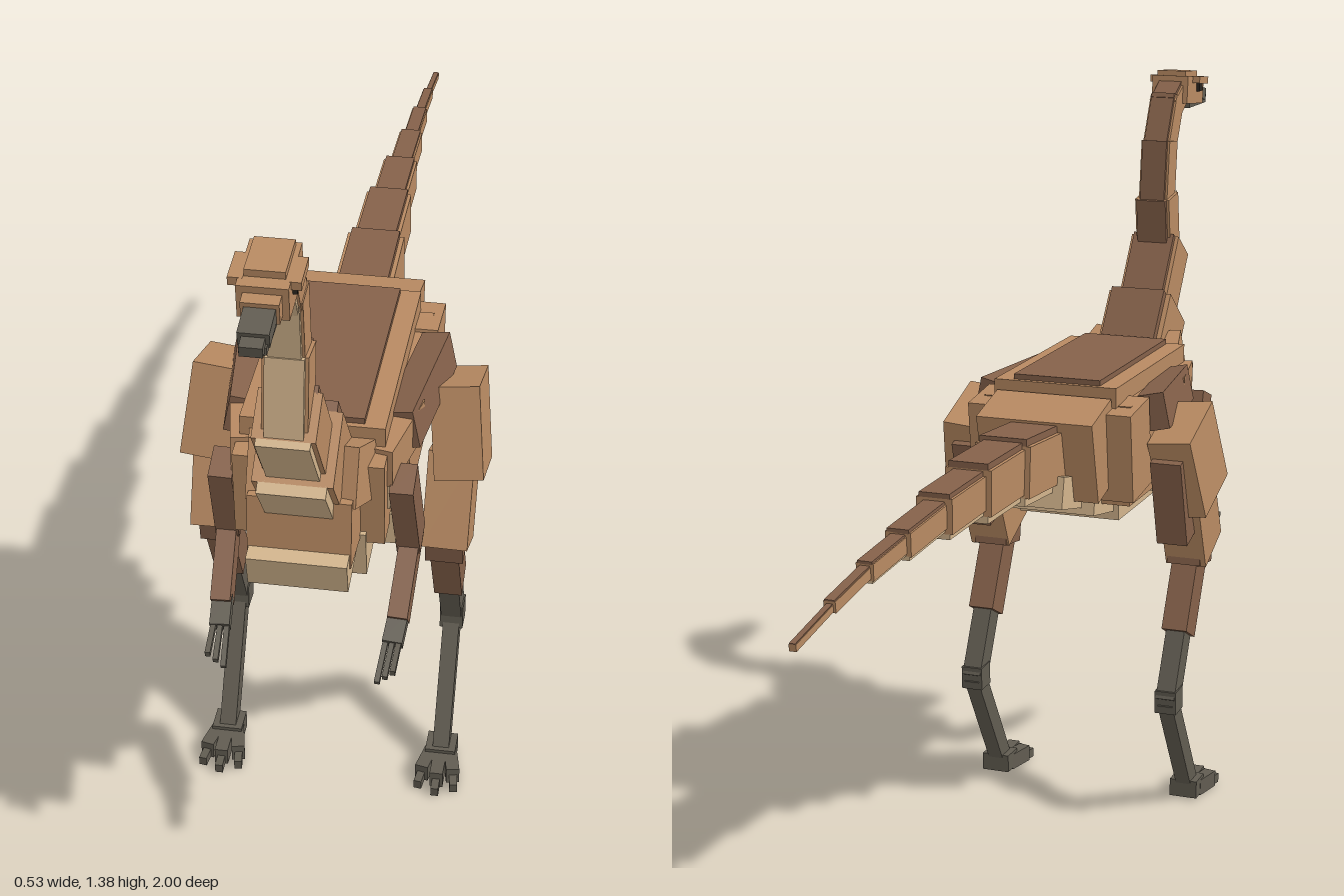
import * as THREE from 'three';

const mat = (name, hex) => {
  const m = new THREE.MeshStandardMaterial({ color: hex });
  m.name = name;
  return m;
};

export function createModel() {
  const root = new THREE.Group();
  root.name = 'featheredRunner';
  const tan = mat('tan hide', 0xb88a62);
  const brown = mat('dark brown hide', 0x85614a);
  const cream = mat('cream belly', 0xd2b48c);
  const grey = mat('grey horn', 0x615c51);
  const black = mat('eye black', 0x2a2520);

  const group = (name, parent = root) => {
    const g = new THREE.Group();
    g.name = name;
    parent.add(g);
    return g;
  };

  // Axis-aligned box from centre and size, with optional tilt
  const box = (name, parent, m, [x, y, z], [w, h, d], rot = [0, 0, 0]) => {
    const b = new THREE.Mesh(new THREE.BoxGeometry(w, h, d), m);
    b.name = name;
    b.position.set(x, y, z);
    b.rotation.set(...rot);
    parent.add(b);
    return b;
  };

  // Box running from a to b; w is its width in x, t its thickness, off shifts it along its own up axis
  const bone = (name, parent, m, a, b, w, t, off = 0) => {
    const p = new THREE.Vector3(...a), q = new THREE.Vector3(...b);
    const dz = q.clone().sub(p), len = dz.length();
    dz.normalize();
    const dx = new THREE.Vector3(1, 0, 0).addScaledVector(dz, -dz.x).normalize();
    const dy = new THREE.Vector3().crossVectors(dz, dx);
    const mesh = new THREE.Mesh(new THREE.BoxGeometry(w, t, len), m);
    mesh.name = name;
    mesh.quaternion.setFromRotationMatrix(new THREE.Matrix4().makeBasis(dx, dy, dz));
    mesh.position.copy(p).add(q).multiplyScalar(0.5).addScaledVector(dy, off);
    parent.add(mesh);
    return mesh;
  };

  // Tan segment with a brown back strip and a cream underside
  const layered = (name, parent, a, b, w, t, under = true) => {
    bone(name, parent, tan, a, b, w, t * 0.78);
    bone(name + 'Back', parent, brown, a, b, w * 0.85, t * 0.14, t * 0.43);
    if (under) bone(name + 'Underside', parent, cream, a, b, w * 0.85, t * 0.16, -t * 0.43);
  };

  // Trunk
  const body = group('body');
  box('ribcage', body, tan, [0, 0.745, 0.28], [0.29, 0.19, 0.3]);
  box('shoulders', body, tan, [0, 0.755, 0.49], [0.25, 0.16, 0.18], [0.06, 0, 0]);
  box('chest', body, tan, [0, 0.745, 0.61], [0.17, 0.12, 0.12], [-0.1, 0, 0]);
  box('upperBack', body, tan, [0, 0.845, 0.33], [0.24, 0.06, 0.42]);
  box('hips', body, tan, [0, 0.755, 0.15], [0.32, 0.17, 0.11], [-0.12, 0, 0]);
  box('rump', body, tan, [0, 0.765, 0.08], [0.225, 0.16, 0.11], [-0.25, 0, 0]);
  box('saddle', body, brown, [0, 0.87, 0.33], [0.17, 0.03, 0.4]);

  // Cream belly plates, stepping up towards the tail
  box('breastPlate', body, cream, [0, 0.695, 0.635], [0.165, 0.06, 0.12], [0.22, 0, 0]);
  box('frontBelly', body, cream, [0, 0.655, 0.51], [0.19, 0.09, 0.14], [0.12, 0, 0]);
  box('midBelly', body, cream, [0, 0.64, 0.34], [0.2, 0.08, 0.28]);
  box('rearBelly', body, cream, [0, 0.66, 0.16], [0.18, 0.07, 0.14], [0.18, 0, 0]);
  box('ventBelly', body, cream, [0, 0.69, 0.05], [0.13, 0.06, 0.13], [0.22, 0, 0]);

  // Tail, each point is [z, y, width, thickness] of the segment that starts there
  const tail = group('tail');
  const tailPts = [
    [0.05, 0.76, 0.105, 0.12], [-0.15, 0.775, 0.085, 0.105], [-0.31, 0.777, 0.065, 0.078],
    [-0.46, 0.775, 0.045, 0.052], [-0.61, 0.767, 0.03, 0.036], [-0.74, 0.758, 0.02, 0.024],
    [-0.87, 0.74, 0.012, 0.015], [-1, 0.716]];
  for (let i = 0; i < tailPts.length - 1; i++) {
    const [z, y, w, t] = tailPts[i], [z2, y2] = tailPts[i + 1];
    layered('tailSegment', tail, [0, y2, z2], [0, y, z + 0.01], w, t, i < 5);
  }

  // Neck, each row is [z1, y1, z2, y2, width, thickness]
  const neck = group('neck');
  [[0.57, 0.79, 0.67, 0.92, 0.13, 0.16], [0.655, 0.9, 0.75, 1.035, 0.1, 0.105],
    [0.742, 1.0, 0.722, 1.14, 0.072, 0.08], [0.722, 1.12, 0.737, 1.25, 0.06, 0.068],
    [0.733, 1.23, 0.785, 1.33, 0.056, 0.065], [0.765, 1.31, 0.84, 1.35, 0.056, 0.06],
  ].forEach(([z1, y1, z2, y2, w, t]) => layered('neckSegment', neck, [0, y1, z1], [0, y2, z2], w, t));
  for (const s of [-1, 1]) {
    bone('neckBaseSide', neck, tan, [s * 0.085, 0.78, 0.5], [s * 0.06, 0.84, 0.63], 0.06, 0.1);
  }

  // Head with beak, brow and eyes
  const head = group('head');
  box('skull', head, tan, [0, 1.342, 0.855], [0.076, 0.055, 0.11], [0.1, 0, 0]);
  box('crown', head, tan, [0, 1.37, 0.85], [0.06, 0.022, 0.08], [0.08, 0, 0]);
  box('muzzle', head, tan, [0, 1.335, 0.91], [0.056, 0.035, 0.04], [0.15, 0, 0]);
  box('upperBeak', head, grey, [0, 1.327, 0.945], [0.046, 0.024, 0.07], [0.2, 0, 0]);
  box('beakTip', head, grey, [0, 1.316, 0.983], [0.034, 0.018, 0.034], [0.2, 0, 0]);
  box('lowerBeak', head, grey, [0, 1.308, 0.93], [0.04, 0.012, 0.115]);
  for (const s of [-1, 1]) {
    box('brow', head, tan, [s * 0.042, 1.362, 0.865], [0.022, 0.014, 0.06], [0.1, 0, 0]);
    box('eye', head, black, [s * 0.04, 1.347, 0.873], [0.009, 0.018, 0.02]);
  }

  for (const s of [-1, 1]) {
    const side = s > 0 ? 'left' : 'right';

    // Brown flank with cream patches below
    const flank = group(side + 'Flank', body);
    box('flankPlate', flank, brown, [s * 0.15, 0.815, 0.33], [0.05, 0.07, 0.25], [0, -s * 0.12, s * 0.2]);
    box('frontFlankPlate', flank, tan, [s * 0.125, 0.805, 0.47], [0.05, 0.07, 0.16], [0, -s * 0.2, 0]);
    box('flankPatch', flank, cream, [s * 0.127, 0.745, 0.47], [0.02, 0.05, 0.15], [0, -s * 0.1, 0]);
    box('lowerFlankPatch', flank, cream, [s * 0.1, 0.66, 0.42], [0.07, 0.06, 0.2]);

    // Arm with three claws
    const arm = group(side + 'Arm');
    bone('upperArm', arm, brown, [s * 0.15, 0.78, 0.54], [s * 0.155, 0.61, 0.475], 0.04, 0.06);
    bone('forearm', arm, brown, [s * 0.157, 0.625, 0.465], [s * 0.15, 0.52, 0.585], 0.034, 0.045);
    bone('hand', arm, grey, [s * 0.15, 0.525, 0.575], [s * 0.146, 0.5, 0.625], 0.034, 0.022);
    [-1, 0, 1].forEach(k => bone('finger', arm, grey, [s * 0.146 + k * 0.011, 0.505, 0.615],
      [s * 0.142 + k * 0.013, 0.477 + k * s * 0.012, 0.685], 0.009, 0.011));

    // Leg
    const leg = group(side + 'Leg');
    bone('thigh', leg, tan, [s * 0.205, 0.79, 0.245], [s * 0.222, 0.635, 0.3], 0.085, 0.15);
    bone('lowerThigh', leg, tan, [s * 0.205, 0.67, 0.285], [s * 0.203, 0.515, 0.355], 0.08, 0.11);
    bone('thighBack', leg, brown, [s * 0.2, 0.74, 0.22], [s * 0.2, 0.57, 0.27], 0.06, 0.1);
    bone('knee', leg, brown, [s * 0.2, 0.56, 0.345], [s * 0.2, 0.49, 0.335], 0.066, 0.08);
    bone('shin', leg, brown, [s * 0.2, 0.52, 0.35], [s * 0.2, 0.365, 0.27], 0.05, 0.062);
    bone('lowerShin', leg, grey, [s * 0.2, 0.385, 0.282], [s * 0.2, 0.245, 0.21], 0.037, 0.045);
    bone('ankle', leg, grey, [s * 0.2, 0.27, 0.215], [s * 0.2, 0.225, 0.217], 0.042, 0.045);
    bone('metatarsal', leg, grey, [s * 0.2, 0.25, 0.208], [s * 0.2, 0.03, 0.345], 0.03, 0.038);
    box('footPad', leg, grey, [s * 0.2, 0.023, 0.345], [0.055, 0.035, 0.05]);
    [-1, 0, 1].forEach(k => {
      const tip = k ? 0.41 : 0.425;
      bone('toe', leg, grey, [s * 0.2 + k * 0.016, 0.018, 0.35], [s * 0.2 + k * 0.029, 0.018, tip], 0.024, 0.032);
      bone('toeClaw', leg, grey, [s * 0.2 + k * 0.029, 0.012, tip - 0.005],
        [s * 0.2 + k * 0.033, 0.01, tip + 0.024], 0.014, 0.018);
    });
  }
  return root;
}
